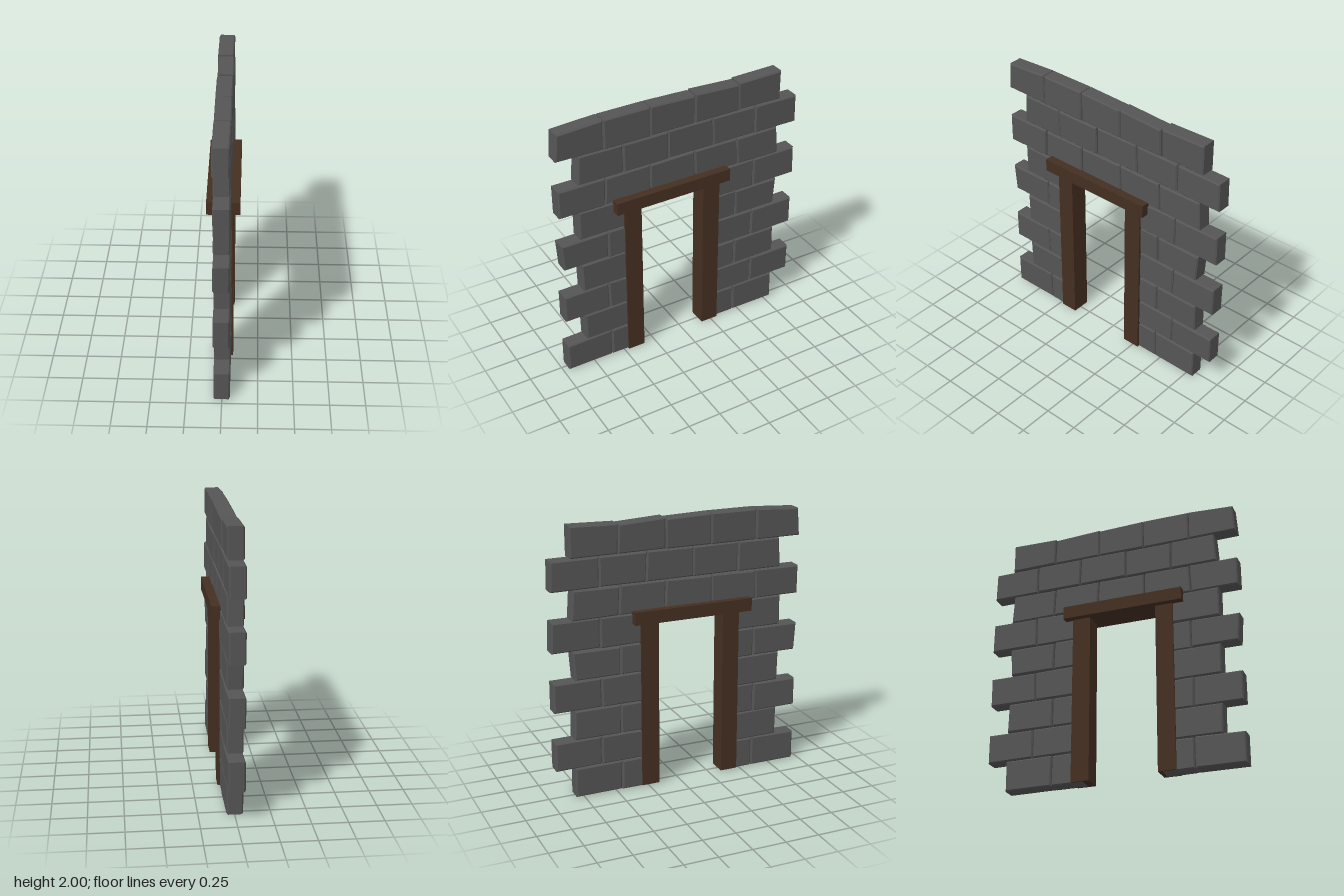
import * as THREE from 'three';

const stone = new THREE.MeshStandardMaterial({ color: 0x555555, flatShading: true });
const wood = new THREE.MeshStandardMaterial({ color: 0x452f22, flatShading: true });

// Small seeded noise in -1..1
let seed = 7;
const noise = () => {
  seed = (seed * 16807) % 2147483647;
  return (seed / 2147483647) * 2 - 1;
};

// One chamfered stone: four [z, y] corners, extruded across the wall thickness
function makeStone(corners) {
  const bevel = 0.009, thickness = 0.115;
  const shape = new THREE.Shape(corners.map(([z, y]) => new THREE.Vector2(z, y)));
  const geo = new THREE.ExtrudeGeometry(shape, {
    depth: thickness - 2 * bevel, bevelEnabled: true, bevelSegments: 1,
    bevelThickness: bevel, bevelSize: bevel, bevelOffset: -bevel,
  });
  geo.translate(0, 0, bevel - thickness / 2);
  geo.rotateY(-Math.PI / 2);
  // slight lean so the faces are not perfectly flush
  const [z0, y0] = corners[0], a = noise() * 0.012, b = noise() * 0.008;
  const p = geo.attributes.position;
  for (let i = 0; i < p.count; i++) {
    p.setX(i, p.getX(i) - 0.002 + a * (p.getY(i) - y0 - 0.11) + b * (p.getZ(i) - z0 + 0.17));
  }
  geo.computeVertexNormals();
  const mesh = new THREE.Mesh(geo, stone);
  mesh.name = 'stone';
  return mesh;
}

// A run of stones between joints [zBottom, zTop], ordered from +z to -z
function addRun(wall, y0, y1, joints, tops) {
  const gap = 0.003;
  for (let i = 0; i < joints.length - 1; i++) {
    const [lb, lt] = joints[i], [rb, rt] = joints[i + 1];
    const [tl, tr] = tops ? tops[i] : [y1 + noise() * 0.004, y1 + noise() * 0.004];
    const bl = y0 + Math.abs(noise()) * 0.006, br = y0 + Math.abs(noise()) * 0.006;
    wall.add(makeStone([
      [rb + gap, br], [lb - gap, bl], [lt - gap, tl], [rt + gap, tr],
    ]));
  }
}

function addBox(group, name, x, [y0, y1], [z0, z1]) {
  const mesh = new THREE.Mesh(new THREE.BoxGeometry(x, y1 - y0, z1 - z0), wood);
  mesh.position.set(0, (y0 + y1) / 2, (z0 + z1) / 2);
  mesh.name = name;
  group.add(mesh);
}

export function createModel() {
  const model = new THREE.Group();
  model.name = 'stoneDoorway';

  const wall = new THREE.Group();
  wall.name = 'stoneWall';
  model.add(wall);

  // Courses beside the opening: bottom, top, +z run, -z run
  const sides = [
    [0.003, 0.23, [[0.96, 0.96], [0.60, 0.60], [0.37, 0.37]], [[-0.215, -0.23], [-0.455, -0.45], [-0.81, -0.81]]],
    [0.232, 0.448, [[0.805, 0.81], [0.46, 0.46]], [[-0.25, -0.25], [-0.605, -0.605], [-0.955, -0.955]]],
    [0.45, 0.67, [[0.96, 0.96], [0.605, 0.61], [0.37, 0.37]], [[-0.23, -0.23], [-0.455, -0.455], [-0.81, -0.805]]],
    [0.672, 0.893, [[0.81, 0.815], [0.46, 0.46]], [[-0.25, -0.25], [-0.595, -0.60], [-0.955, -0.955]]],
    [0.895, 1.11, [[0.945, 0.96], [0.60, 0.60], [0.37, 0.37]], [[-0.23, -0.23], [-0.455, -0.45], [-0.795, -0.81]]],
    [1.113, 1.335, [[0.815, 0.815], [0.46, 0.46]], [[-0.25, -0.25], [-0.60, -0.60], [-0.96, -0.955]]],
  ];
  for (const [y0, y1, near, far] of sides) {
    addRun(wall, y0, y1, near);
    addRun(wall, y0, y1, far);
  }

  // Full courses above the opening
  addRun(wall, 1.335, 1.55,
    [[0.96, 0.96], [0.61, 0.60], [0.255, 0.255], [-0.11, -0.10], [-0.46, -0.45], [-0.81, -0.795]]);
  addRun(wall, 1.555, 1.772,
    [[0.81, 0.795], [0.46, 0.465], [0.11, 0.11], [-0.255, -0.245], [-0.60, -0.60], [-0.955, -0.95]]);
  addRun(wall, 1.775, 2,
    [[0.96, 0.945], [0.605, 0.605], [0.25, 0.25], [-0.10, -0.10], [-0.46, -0.455], [-0.81, -0.81]],
    [[1.98, 2], [2, 2], [2, 1.99], [2, 1.982], [1.99, 2]]);

  // Timber door frame
  const frame = new THREE.Group();
  frame.name = 'doorFrame';
  addBox(frame, 'post', 0.14, [0.01, 1.27], [0.34, 0.47]);
  addBox(frame, 'post', 0.14, [0.01, 1.27], [-0.30, -0.165]);
  addBox(frame, 'lintel', 0.23, [1.265, 1.36], [-0.36, 0.55]);
  model.add(frame);

  return model;
}
